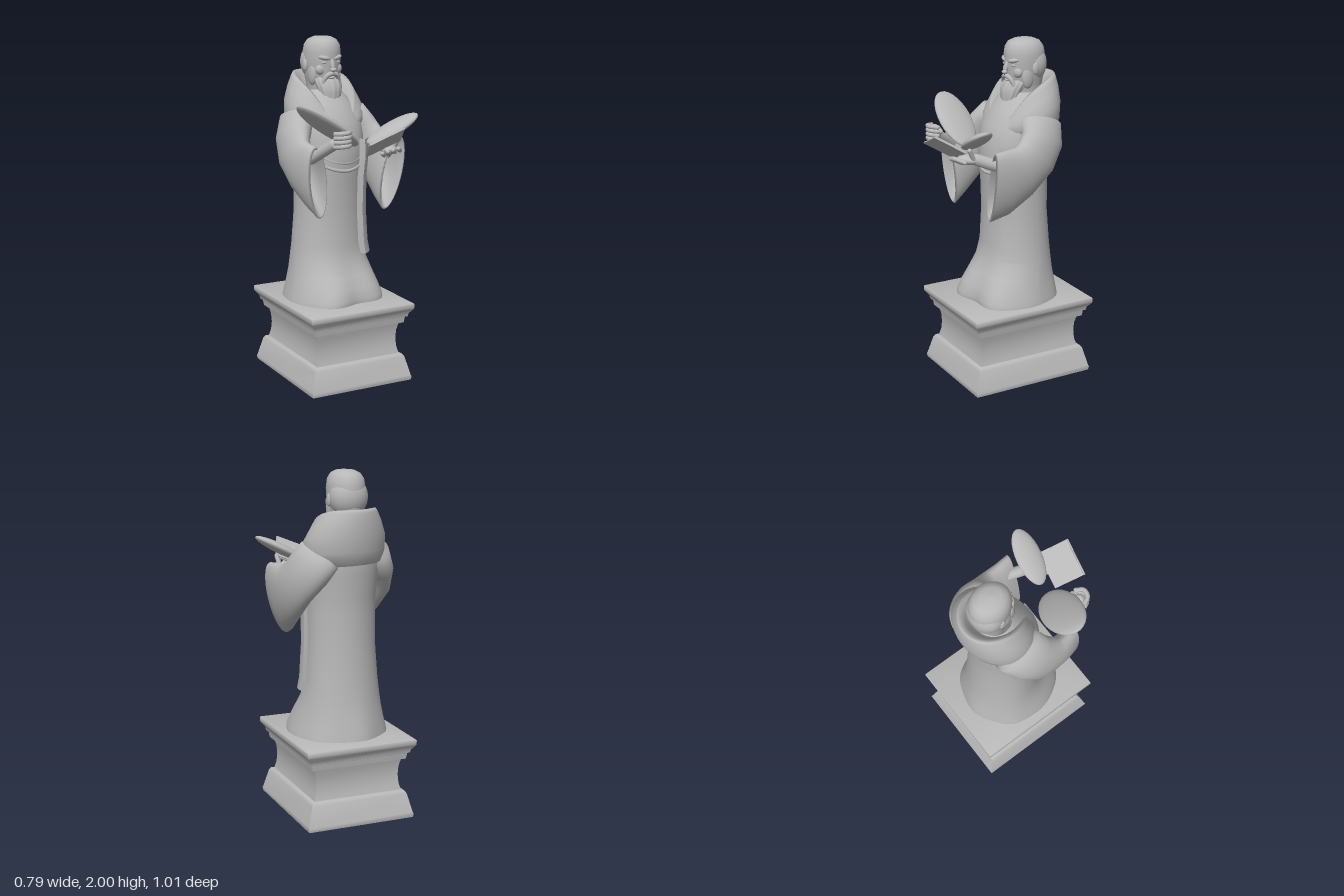
import * as THREE from 'three';
import { toCreasedNormals } from 'three/addons/utils/BufferGeometryUtils.js';

const stone = new THREE.MeshStandardMaterial({ color: 0xb8b8b8 });
stone.name = 'grey stone';
const V = (a) => new THREE.Vector3(...a);

function add(parent, name, geometry) {
  const mesh = new THREE.Mesh(geometry, stone);
  mesh.name = name;
  parent.add(mesh);
  return mesh;
}

// Skin a list of rings (each a list of points) with quads
function loft(rings, closed = true) {
  const n = rings[0].length, index = [];
  for (let i = 0; i < rings.length - 1; i++) {
    for (let j = 0; j < (closed ? n : n - 1); j++) {
      const a = i * n + j, b = i * n + (j + 1) % n;
      index.push(a, a + n, b, b, a + n, b + n);
    }
  }
  const g = new THREE.BufferGeometry();
  g.setAttribute('position', new THREE.Float32BufferAttribute(rings.flat().flatMap((p) => p.toArray()), 3));
  g.setIndex(index);
  g.computeVertexNormals();
  return g;
}

// Elliptical ring: centre c, half axes u and v, sides lifted by "lift", front lowered by "drop"
function ring([c, u, v, lift = 0, drop = 0], n = 40) {
  return Array.from({ length: n }, (_, j) => {
    const t = (j / n) * Math.PI * 2;
    const p = V(c).addScaledVector(V(u), Math.cos(t)).addScaledVector(V(v), Math.sin(t));
    p.y += lift * Math.cos(t) ** 2 - drop * Math.max(0, Math.sin(t)) ** 3;
    return p;
  });
}

// Ellipsoid with its long axis along "along" and its width near "across"
function ellipsoid(parent, name, c, size, along = [1, 0, 0], across = [0, 0, 1]) {
  const m = add(parent, name, new THREE.SphereGeometry(1, 28, 18));
  const x = V(along).normalize();
  const z = V(across).addScaledVector(x, -V(across).dot(x)).normalize();
  m.quaternion.setFromRotationMatrix(new THREE.Matrix4().makeBasis(x, z.clone().cross(x), z));
  m.position.set(...c);
  m.scale.set(...size);
}

function tube(parent, name, points, r, segments = 16) {
  add(parent, name, new THREE.TubeGeometry(new THREE.CatmullRomCurve3(points.map(V)), segments, r, 10));
}

// Finger or wrist with round ends
function limb(parent, name, a, b, r) {
  const d = V(b).sub(V(a));
  const m = add(parent, name, new THREE.CapsuleGeometry(r, d.length(), 6, 12));
  m.position.copy(V(a)).addScaledVector(d, 0.5);
  m.quaternion.setFromUnitVectors(new THREE.Vector3(0, 1, 0), d.normalize());
}

function pedestal(g) {
  // y, inset from the widest edge
  const profile = [[0, 0.335], [0, 0.012], [0.02, 0.008], [0.03, 0.012], [0.14, 0.04], [0.155, 0.05], [0.16, 0.066],
    [0.2, 0.076], [0.25, 0.08], [0.3, 0.077], [0.345, 0.066], [0.35, 0.045], [0.385, 0.04], [0.39, 0.028],
    [0.41, 0.024], [0.435, 0.004], [0.445, 0], [0.468, 0], [0.472, 0.004], [0.472, 0.335]];
  const rings = profile.map(([y, i]) =>
    [[1, -1], [1, 1], [-1, 1], [-1, -1]].map(([sx, sz]) => V([sx * (0.335 - i), y, sz * (0.392 - i)])));
  const m = add(g, 'pedestal', toCreasedNormals(loft(rings), 0.8));
  m.position.z = -0.07;
  m.rotation.y = -0.16;
}

// Robe rows: y, half width, front z, back z
const ROBE = [[0.47, 0.285, 0.205, -0.37], [0.5, 0.28, 0.205, -0.365], [0.56, 0.262, 0.18, -0.355], [0.63, 0.245, 0.135, -0.34],
  [0.7, 0.23, 0.09, -0.33], [0.8, 0.216, 0.068, -0.32], [1.0, 0.202, 0.06, -0.305], [1.2, 0.2, 0.07, -0.308],
  [1.3, 0.203, 0.085, -0.315], [1.42, 0.21, 0.08, -0.33], [1.52, 0.21, 0.05, -0.34], [1.62, 0.17, -0.01, -0.33], [1.7, 0.1, -0.08, -0.27]];

function robePoint([y, w, f, b], t, off = 0) {
  const hem = Math.max(0, (0.78 - y) / 0.31);
  const front = Math.max(0, Math.sin(t));
  const fold = 1 + hem * (0.09 * front * Math.cos(4 * t + Math.PI) + 0.015 * Math.sin(7 * t));
  const s = Math.sin(t) > 0 ? Math.sin(t) ** 0.85 : Math.sin(t);
  return V([(w * fold + off) * Math.cos(t), y, (f + b) / 2 + ((f - b) / 2 * fold + off) * s]);
}

function robe(g) {
  const n = 64;
  add(g, 'robe', loft(ROBE.map((r) => Array.from({ length: n }, (_, j) => robePoint(r, (j / n) * Math.PI * 2)))));
  // Hanging panel over the left side, standing off more towards the front
  const rows = [[0.735, 0.226, 0.078, -0.325], ...ROBE.slice(5, 10)];
  const arc = (r, off, grow) => Array.from({ length: 15 }, (_, j) => robePoint(r, 0.16 + j * 0.065, off + j * grow));
  const inner = (r) => arc(r, -0.005, 0);
  const outer = (r) => arc(r, 0.022, 0.001);
  add(g, 'sidePanel', toCreasedNormals(loft([inner(rows[0]), ...rows.map(outer)], false), 0.7));
  for (const end of [0, 14]) {
    const strip = rows.map((r) => [inner(r)[end], outer(r)[end]]);
    add(g, 'panelEdge', loft(end ? strip.map((s) => s.reverse()) : strip, false));
  }
  // Soft folds across the waist
  for (const y of [1.31, 1.265]) {
    const pts = [-0.14, -0.08, 0, 0.08, 0.14].map((x) =>
      [x, y + x * x * 2 - 0.02, -0.12 + 0.2 * (1 - (x / 0.203) ** 2) ** 0.425 - 0.005]);
    tube(g, 'waistFold', pts, 0.011, 24);
  }
}

function cowl(g) {
  const rings = [
    [[0, 1.45, -0.15], [0.17, 0, 0], [0, -0.01, 0.16]],
    [[0.005, 1.48, -0.157], [0.225, 0, 0], [0, -0.01, 0.19]],
    [[0.01, 1.54, -0.162], [0.245, 0, 0], [0, -0.02, 0.202], 0, 0.04],
    [[0.01, 1.6, -0.165], [0.24, 0, 0], [0, -0.05, 0.21], 0.02, 0.055],
    [[0.01, 1.65, -0.168], [0.21, 0, 0], [0, -0.08, 0.206], 0.03, 0.075],
    [[0.01, 1.685, -0.17], [0.182, 0, 0], [0, -0.09, 0.199], 0.045, 0.09],
    [[0.01, 1.703, -0.17], [0.168, 0, 0], [0, -0.09, 0.193], 0.048, 0.095],
    [[0.01, 1.703, -0.17], [0.148, 0, 0], [0, -0.09, 0.175], 0.045, 0.095],
    [[0.01, 1.67, -0.17], [0.13, 0, 0], [0, -0.09, 0.15], 0.03, 0.08],
    [[0.01, 1.61, -0.17], [0.08, 0, 0], [0, -0.05, 0.09], 0, 0.06],
    [[0.01, 1.58, -0.17], [0.001, 0, 0], [0, 0, 0.001]]];
  add(g, 'cowl', loft(rings.map((r) => ring(r, 48))));
}

function sleeves(g) {
  const left = [
    [[0.12, 1.57, -0.18], [0.03, 0.03, 0], [0, 0.02, 0.06]],
    [[0.17, 1.53, -0.17], [0.085, 0.05, 0], [0, 0.045, 0.14]],
    [[0.225, 1.45, -0.14], [0.088, 0.03, 0], [0, 0.07, 0.13]],
    [[0.255, 1.37, -0.07], [0.075, 0, 0], [0, 0.1, 0.11]],
    [[0.255, 1.3, 0.02], [0.073, 0, 0], [0.01, 0.15, 0.06]],
    [[0.238, 1.25, 0.12], [0.07, 0, 0.012], [0.025, 0.197, 0.02]],
    [[0.22, 1.23, 0.21], [0.062, 0, 0.02], [0.045, 0.212, 0.012]],
    [[0.218, 1.23, 0.218], [0.05, 0, 0.018], [0.041, 0.197, 0.01]],
    [[0.22, 1.25, 0.17], [0.045, 0, 0.015], [0.03, 0.16, 0.01]],
    [[0.24, 1.3, 0.05], [0.03, 0, 0], [0.01, 0.06, 0]],
    [[0.245, 1.31, 0.03], [0.001, 0, 0], [0, 0.001, 0]]];
  const right = [
    [[-0.12, 1.57, -0.18], [0.03, -0.03, 0], [0, 0.02, 0.06]],
    [[-0.17, 1.53, -0.17], [0.085, -0.05, 0], [0, 0.045, 0.14]],
    [[-0.23, 1.45, -0.13], [0.088, -0.03, 0], [0, 0.07, 0.13]],
    [[-0.268, 1.37, -0.07], [0.075, 0, 0], [0, 0.1, 0.11]],
    [[-0.278, 1.3, 0.0], [0.073, 0, 0], [-0.01, 0.15, 0.06]],
    [[-0.275, 1.25, 0.08], [0.07, 0, 0], [-0.02, 0.19, 0.02]],
    [[-0.268, 1.22, 0.15], [0.066, 0, 0], [-0.025, 0.21, 0.012]],
    [[-0.267, 1.22, 0.158], [0.053, 0, 0], [-0.023, 0.195, 0.01]],
    [[-0.268, 1.25, 0.11], [0.046, 0, 0], [-0.02, 0.16, 0.01]],
    [[-0.27, 1.3, 0.02], [0.03, 0, 0], [0, 0.06, 0]],
    [[-0.27, 1.31, 0], [0.001, 0, 0], [0, 0.001, 0]]];
  add(g, 'leftSleeve', loft(left.reverse().map((r) => ring(r))));
  add(g, 'rightSleeve', loft(right.reverse().map((r) => ring(r))));
}

function hands(g) {
  // Right hand, fingers curled
  limb(g, 'rightWrist', [-0.275, 1.35, 0.1], [-0.235, 1.45, 0.26], 0.032);
  ellipsoid(g, 'rightPalm', [-0.215, 1.475, 0.285], [0.052, 0.03, 0.036], [0.3, 1, 0.3], [1, 0, 0]);
  for (let i = 0; i < 4; i++) {
    const y = 1.44 + i * 0.024;
    tube(g, 'rightFinger', [[-0.25, y, 0.285], [-0.235, y + 0.005, 0.325], [-0.195, y + 0.008, 0.338], [-0.165, y + 0.004, 0.31]], 0.013);
    ellipsoid(g, 'rightFingertip', [-0.163, y + 0.004, 0.308], [0.014, 0.013, 0.013]);
  }
  limb(g, 'rightThumb', [-0.21, 1.5, 0.27], [-0.155, 1.49, 0.29], 0.013);
  // Left hand, open under the book
  limb(g, 'leftWrist', [0.25, 1.33, 0.12], [0.15, 1.39, 0.27], 0.034);
  ellipsoid(g, 'leftPalm', [0.12, 1.39, 0.3], [0.068, 0.028, 0.048], [-0.6, 0.1, 0.8], [1, 0, 0.6]);
  for (let i = 0; i < 4; i++) {
    const k = i * 0.027;
    limb(g, 'leftFinger', [0.075 + k, 1.365 + k * 0.3, 0.315 + k * 0.5], [0.03 + k, 1.385 + k * 0.3, 0.355 + k * 0.5], 0.013);
  }
  limb(g, 'leftThumb', [0.16, 1.4, 0.3], [0.165, 1.455, 0.33], 0.013);
}

function bookAndLeaves(g) {
  // Tilted book board with a thin page block
  const x = V([0.2, 0.085, 0.065]).normalize();
  const z = V([-0.05, 0.11, 0.155]);
  z.addScaledVector(x, -z.dot(x)).normalize();
  const book = new THREE.Group();
  book.name = 'book';
  book.position.set(0.018, 1.452, 0.392);
  book.quaternion.setFromRotationMatrix(new THREE.Matrix4().makeBasis(x, z.clone().cross(x), z));
  add(book, 'cover', new THREE.BoxGeometry(0.22, 0.008, 0.195));
  add(book, 'pages', new THREE.BoxGeometry(0.208, 0.008, 0.183)).position.y = 0.006;
  g.add(book);
  ellipsoid(g, 'largeLeaf', [-0.2, 1.535, 0.155], [0.213, 0.034, 0.118], [0.33, -0.24, 0.09], [0, 0.15, 1]);
  ellipsoid(g, 'smallLeaf', [0.163, 1.502, 0.28], [0.17, 0.03, 0.077], [0.28, 0.15, 0.09], [0, 0, 1]);
}

function head(g) {
  const h = new THREE.Group();
  h.name = 'head';
  h.position.set(0.01, 0, -0.185);
  h.rotation.y = -0.1;
  g.add(h);
  // y, z, half width, half depth
  const rows = [[1.58, 0, 0.075, 0.075], [1.7, -0.01, 0.08, 0.085], [1.75, 0.0, 0.09, 0.11], [1.8, 0, 0.1, 0.117],
    [1.86, 0, 0.106, 0.122], [1.91, 0.002, 0.106, 0.122], [1.95, 0.004, 0.1, 0.115], [1.98, 0.006, 0.08, 0.095],
    [1.995, 0.008, 0.05, 0.06], [2.0, 0.008, 0.001, 0.001]];
  add(h, 'skull', loft(rows.map(([y, z, w, d]) => ring([[0, y, z], [w, 0, 0], [0, 0, d]]))));
  ellipsoid(h, 'backHair', [0, 1.85, -0.03], [0.113, 0.12, 0.097]);
  // Nose and mouth
  ellipsoid(h, 'noseBridge', [0, 1.845, 0.122], [0.042, 0.013, 0.016], [0, -1, 0.35], [0, 0, 1]);
  ellipsoid(h, 'noseTip', [0, 1.815, 0.135], [0.019, 0.013, 0.015]);
  ellipsoid(h, 'lip', [0, 1.768, 0.116], [0.022, 0.008, 0.012]);
  for (const s of [-1, 1]) {
    ellipsoid(h, 'brow', [s * 0.043, 1.882, 0.105], [0.036, 0.014, 0.018], [1, s * 0.2, -s * 0.4]);
    ellipsoid(h, 'eye', [s * 0.042, 1.855, 0.105], [0.018, 0.009, 0.01]);
    ellipsoid(h, 'cheek', [s * 0.05, 1.815, 0.08], [0.036, 0.034, 0.026]);
    ellipsoid(h, 'ear', [s * 0.108, 1.835, -0.005], [0.012, 0.036, 0.022]);
    ellipsoid(h, 'sideburn', [s * 0.08, 1.79, 0.03], [0.022, 0.07, 0.04]);
    tube(h, 'moustache', [[0, 1.793, 0.125], [s * 0.03, 1.783, 0.12], [s * 0.05, 1.745, 0.105], [s * 0.048, 1.7, 0.1]], 0.014);
  }
  // Tapering beard with shallow strands
  const beard = [[1.55, 0.13, 0.002, 0.002], [1.57, 0.127, 0.02, 0.016], [1.62, 0.115, 0.045, 0.034], [1.68, 0.1, 0.066, 0.048],
    [1.72, 0.085, 0.076, 0.06], [1.76, 0.06, 0.08, 0.062], [1.79, 0.04, 0.06, 0.05]];
  const strands = beard.map(([y, z, w, d]) => ring([[0, y, z], [w, 0, 0], [0, 0, d]], 48).map((p, j) => {
    const k = 1 + 0.04 * Math.cos((j / 48) * Math.PI * 24);
    return V([p.x * k, y, z + (p.z - z) * k]);
  }));
  add(h, 'beard', loft(strands));
}

export function createModel() {
  const g = new THREE.Group();
  g.name = 'statue';
  for (const build of [pedestal, robe, cowl, sleeves, hands, bookAndLeaves, head]) build(g);
  return g;
}
